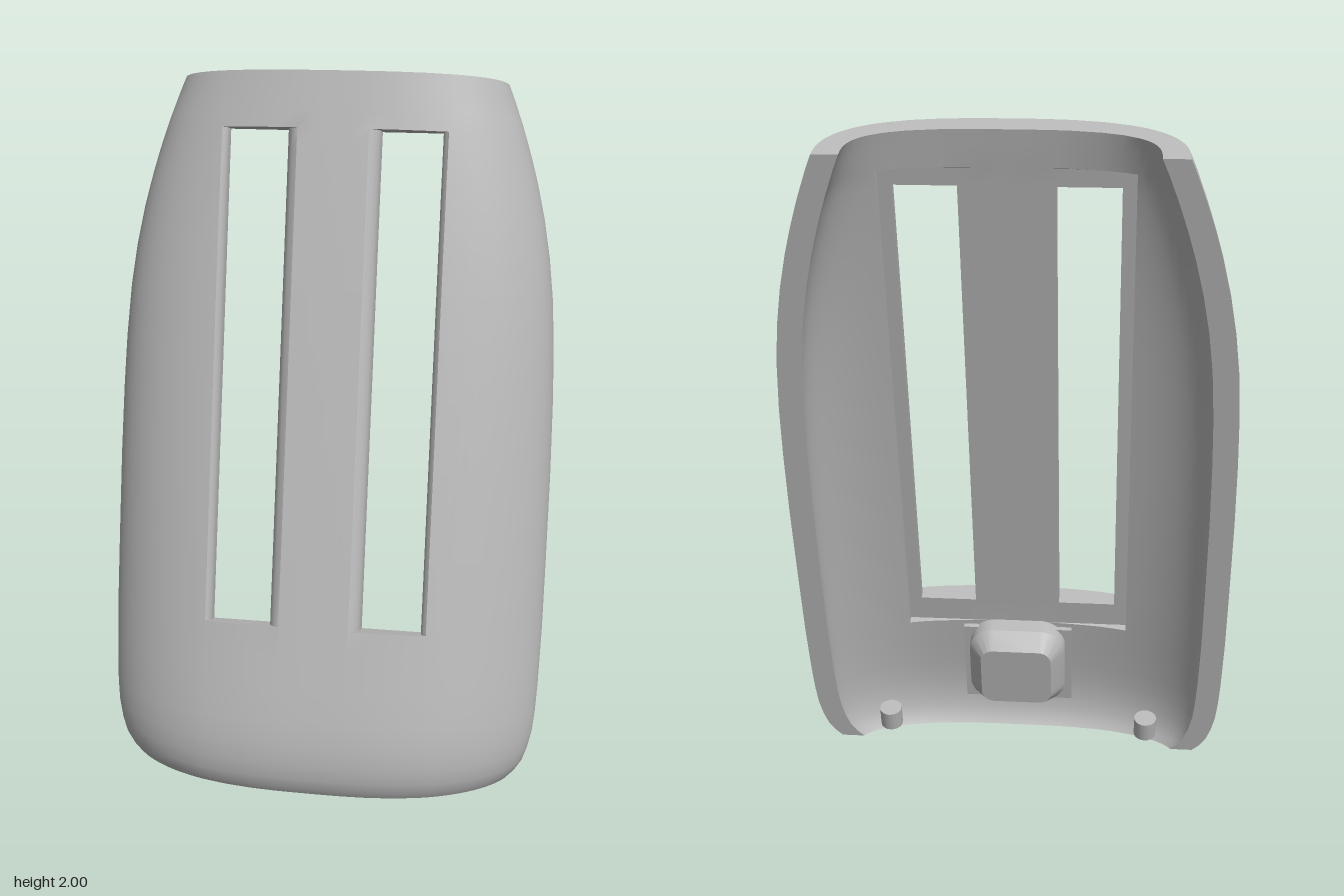
import * as THREE from 'three';
import { toCreasedNormals } from 'three/addons/utils/BufferGeometryUtils.js';

const TILT = Math.PI / 12;

// Sections along the shell: [distance up, half width, depth]
const ROWS = [
  [0, 0.56, 0.184], [0.02, 0.58, 0.202], [0.05, 0.6, 0.218], [0.09, 0.614, 0.232], [0.14, 0.625, 0.241],
  [0.2, 0.631, 0.244], [0.28, 0.635, 0.244], [0.36, 0.637, 0.244], [0.362, 0.637, 0.244], [0.444, 0.639, 0.244],
  [0.65, 0.64, 0.244], [0.9, 0.64, 0.244], [1.1, 0.637, 0.244], [1.25, 0.632, 0.244], [1.4, 0.622, 0.244],
  [1.52, 0.607, 0.244], [1.63, 0.587, 0.244], [1.73, 0.563, 0.244], [1.8, 0.543, 0.244], [1.847, 0.528, 0.244],
  [1.898, 0.511, 0.244], [1.9, 0.51, 0.244], [1.96, 0.488, 0.244], [2.004, 0.47, 0.244],
];
const LENGTH = 2.004;
const SLOT_ROWS = [9, 19], POCKET_ROWS = [8, 20];
const SLOT_COLS = [2, 5], POCKET_COL = 6;
// Fixed columns near the middle; the rest follow the curve to the rim
const OUTER_X = [0, 0.05, 0.1, 0.17, 0.25, 0.318, 0.333, 0.345];
const INNER_X = [0, 0.06, 0.13, 0.17, 0.25, 0.302, 0.34, 0.34];
const CURVED = 14;
const N = OUTER_X.length - 1 + CURVED;

// Point on the outer or inner skin at row i and signed column j
function skin(i, j, inner) {
  const [s, w, d] = ROWS[i];
  const W = inner ? w - 0.07 : w, D = inner ? d - 0.072 : d, p = inner ? 3 : 2.8;
  // flanks slope at the foot and grow fuller towards the top
  const fall = THREE.MathUtils.lerp(inner ? 0.7 : 0.72, inner ? 0.333 : 0.4, s / LENGTH);
  const xs = inner ? INNER_X : OUTER_X, last = xs.length - 1, k = Math.abs(j);
  let angle = Math.acos(Math.pow(xs[Math.min(k, last)] / W, p / 2));
  if (k > last) angle *= 1 - (k - last) / CURVED;
  const x = W * Math.pow(Math.cos(angle), 2 / p);
  let n = k === N ? 0 : D * Math.pow(Math.sin(angle), 2 * fall);
  if (inner && k <= POCKET_COL && i >= POCKET_ROWS[0] && i <= POCKET_ROWS[1]) n = D;
  // the lower end is cut level with the ground
  const v = s - n * Math.tan(TILT) * Math.max(0, 1 - s / 0.36);
  return [Math.sign(j) * x, v, n];
}

function shellGeometry() {
  const pos = [];
  const quad = (a, b, c, d, flip) => {
    const q = flip ? [d, c, b, a] : [a, b, c, d];
    pos.push(...q[0], ...q[1], ...q[2], ...q[0], ...q[2], ...q[3]);
  };
  const inSlot = (i, j) => {
    const k = j >= 0 ? j : -j - 1;
    return i >= SLOT_ROWS[0] && i < SLOT_ROWS[1] && k >= SLOT_COLS[0] && k < SLOT_COLS[1];
  };
  // Both skins, leaving the slots open
  for (let i = 0; i < ROWS.length - 1; i++) {
    for (let j = -N; j < N; j++) {
      if (inSlot(i, j)) continue;
      for (const inner of [false, true]) {
        quad(skin(i, j, inner), skin(i, j + 1, inner), skin(i + 1, j + 1, inner), skin(i + 1, j, inner), inner);
      }
    }
  }
  // Walls that join the skins
  const endWall = (i, from, to, flip) => {
    for (let j = from; j < to; j++) {
      quad(skin(i, j, false), skin(i, j + 1, false), skin(i, j + 1, true), skin(i, j, true), flip);
    }
  };
  const sideWall = (j, from, to, flip, rounded) => {
    const path = (i) => {
      const o = skin(i, j, false), n = skin(i, j, true);
      const mix = (a, b) => [o[0] + a * (n[0] - o[0]), o[1] + b * (n[1] - o[1]), o[2] + b * (n[2] - o[2])];
      return rounded ? [o, mix(0.5, 0.12), mix(0.85, 0.3), mix(1, 0.5), n] : [o, n];
    };
    for (let i = from; i < to; i++) {
      const a = path(i), b = path(i + 1);
      for (let k = 0; k < a.length - 1; k++) quad(a[k], a[k + 1], b[k + 1], b[k], flip);
    }
  };
  const top = ROWS.length - 1;
  endWall(top, -N, N, false);
  endWall(0, -N, N, true);
  sideWall(N, 0, top, false, false);
  sideWall(-N, 0, top, true, false);
  const [c0, c1] = SLOT_COLS, [r0, r1] = SLOT_ROWS;
  for (const [lo, hi] of [[c0, c1], [-c1, -c0]]) {
    endWall(r0, lo, hi, false);
    endWall(r1, lo, hi, true);
    sideWall(lo, r0, r1, false, true);
    sideWall(hi, r0, r1, true, true);
  }
  const geo = new THREE.BufferGeometry();
  geo.setAttribute('position', new THREE.Float32BufferAttribute(pos, 3));
  return toCreasedNormals(geo, 0.5);
}

function roundedRect(w, h, r) {
  const s = new THREE.Shape(), x = w / 2, y = h / 2;
  s.absarc(x - r, y - r, r, 0, Math.PI / 2);
  s.absarc(-x + r, y - r, r, Math.PI / 2, Math.PI);
  s.absarc(-x + r, -y + r, r, Math.PI, Math.PI * 1.5);
  s.absarc(x - r, -y + r, r, Math.PI * 1.5, Math.PI * 2);
  return s;
}

export function createModel() {
  const model = new THREE.Group();
  model.name = 'slottedCover';
  const grey = new THREE.MeshStandardMaterial({ color: 0xb8b8b8 });
  grey.name = 'light grey';

  const body = new THREE.Group();
  body.name = 'tiltedBody';
  body.rotation.x = -TILT;
  body.position.z = 0.155;
  model.add(body);

  const add = (name, geo, x, y, z) => {
    const mesh = new THREE.Mesh(geo, grey);
    mesh.name = name;
    mesh.position.set(x, y, z);
    body.add(mesh);
  };

  add('shell', shellGeometry(), 0, 0, 0);

  // Tapered boss on a thin plate, on the inside below the slots
  add('bossPlate', new THREE.BoxGeometry(0.34, 0.29, 0.03), 0, 0.2, 0.17);
  const boss = new THREE.ExtrudeGeometry(roundedRect(0.22, 0.21, 0.04), {
    depth: 0.055, bevelThickness: 0.055, bevelSize: 0.04, bevelSegments: 1, curveSegments: 6,
  });
  add('boss', toCreasedNormals(boss, 0.5), 0, 0.22, 0.12);

  // Locating pegs at the lower corners
  for (const side of [-1, 1]) {
    add(side > 0 ? 'leftPeg' : 'rightPeg', new THREE.CylinderGeometry(0.035, 0.035, 0.065, 20), side * 0.41, 0.03, 0.07);
  }
  return model;
}
